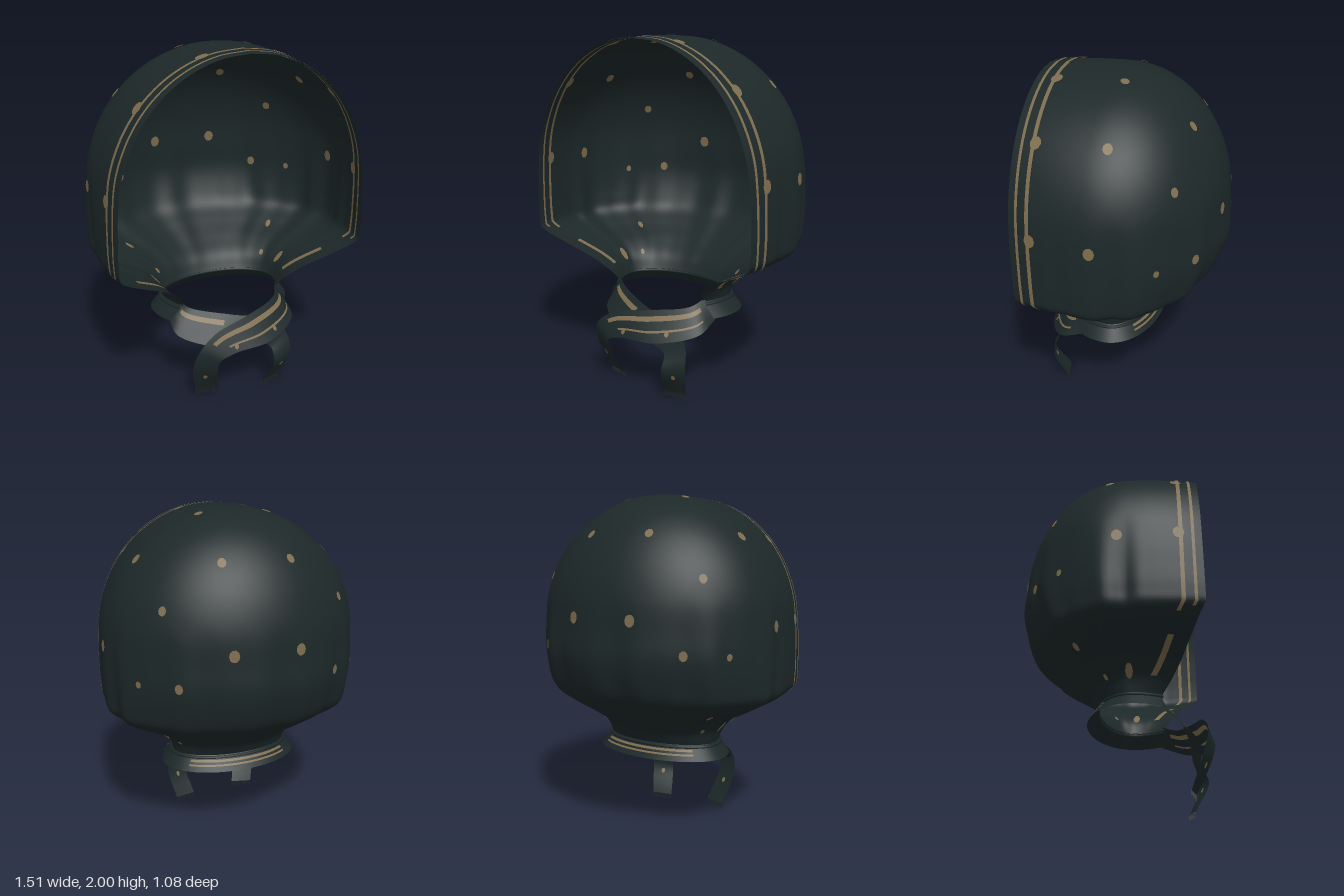
import * as THREE from 'three';

const V = (x, y, z) => new THREE.Vector3(x, y, z);
const lerp = THREE.MathUtils.lerp;
const clamp01 = (a) => Math.min(1, Math.max(0, a));

const ZC = 0.1;   // where the straight sides meet the round back
const Q = 0.65;   // share of a row that is round

// Rows of the hood: half width, height, rearmost z. A round crown, then the gathered neck
const crown = Array.from({ length: 8 }, (_, i) => {
  const a = i / 7 * Math.PI / 2;
  return V(0.75 * Math.sin(a), 1.25 + 0.75 * Math.cos(a), ZC - 0.63 * Math.sin(a));
});
const rows = new THREE.CatmullRomCurve3([...crown, ...[
  [0.753, 1.1, -0.537], [0.75, 0.96, -0.5], [0.735, 0.87, -0.455], [0.62, 0.79, -0.36],
  [0.46, 0.705, -0.24], [0.385, 0.63, -0.14], [0.355, 0.55, -0.09],
].map((p) => V(...p))]);

const frontZ = (y) => lerp(0.27, 0.5, clamp01((y - 0.56) / 0.33));

// Point on the hood: s runs crown to neck, q runs -1..1 from one front edge round the back
function hood(s, q) {
  const r = rows.getPoint(clamp01(s));
  const w = r.x, zf = frontZ(r.y), a = Math.abs(q);
  const p = V(0, r.y, 0);
  if (a > Q) {
    const f = (a - Q) / (1 - Q);
    const k = lerp(0.82, 0.95, clamp01((r.y - 0.56) / 0.33)) - 0.03 * clamp01((r.y - 0.95) / 0.6);
    p.x = Math.sign(q) * w * (1 - (1 - k) * f * f);
    p.z = ZC + (zf - ZC) * f;
  } else {
    const th = (q / Q) * Math.PI / 2;
    p.x = w * Math.sin(th);
    p.z = ZC - (ZC - r.z) * Math.cos(th);
  }
  // gathered pleats towards the neck
  const fade = clamp01((1.45 - r.y) / 0.5) * clamp01((r.y - 0.55) / 0.2) * clamp01((0.85 - a) / 0.2);
  const m = 1 + 0.014 * fade * (Math.sin(q * 31) + 0.5 * Math.sin(q * 53 + 1));
  p.x *= m;
  p.z = ZC + (p.z - ZC) * m;
  if (p.z > 0.15) p.y -= 0.015 * clamp01((r.y - 1.5) / 0.5) * ((p.z - 0.15) / 0.35) ** 2;
  return p;
}

function hoodNormal(s, q) {
  const e = 0.003, s0 = Math.max(0.004, Math.min(0.996, s));
  const ds = hood(s0 + e, q).sub(hood(s0 - e, q));
  const dq = hood(s0, Math.min(1, q + e)).sub(hood(s0, Math.max(-1, q - e)));
  const n = ds.cross(dq).normalize();
  const p = hood(s0, q);
  return n.dot(V(p.x, p.y - 1.1, p.z - 0.1)) < 0 ? n.negate() : n;
}

// Sheet over a grid of points fn(u, v), u and v in 0..1
function sheet(fn, nu, nv) {
  const pos = [], idx = [];
  for (let i = 0; i <= nu; i++) for (let j = 0; j <= nv; j++) pos.push(...fn(i / nu, j / nv).toArray());
  for (let i = 0; i < nu; i++) for (let j = 0; j < nv; j++) {
    const a = i * (nv + 1) + j, b = a + nv + 1;
    idx.push(a, b, a + 1, b, b + 1, a + 1);
  }
  const g = new THREE.BufferGeometry();
  g.setAttribute('position', new THREE.Float32BufferAttribute(pos, 3));
  g.setIndex(idx);
  g.computeVertexNormals();
  return g;
}

// Row parameter for a given height
function rowAt(y) {
  let lo = 0, hi = 1;
  for (let i = 0; i < 30; i++) {
    const m = (lo + hi) / 2;
    if (rows.getPoint(m).y > y) lo = m; else hi = m;
  }
  return lo;
}

export function createModel() {
  const group = new THREE.Group();
  const cloth = new THREE.MeshStandardMaterial({ color: 0x1d2829, side: THREE.DoubleSide });
  cloth.name = 'dark cloth';
  const gold = new THREE.MeshStandardMaterial({ color: 0x7d6c4e, side: THREE.DoubleSide });
  gold.name = 'dull gold';
  const add = (name, geo, mat) => {
    const m = new THREE.Mesh(geo, mat);
    m.name = name;
    group.add(m);
    return m;
  };

  add('hood', sheet((u, v) => hood(u, v * 2 - 1), 80, 120), cloth);

  // Border stripes down the face opening and a worn patch on the cheek: edge distance, width, heights
  const edgeQ = (s, d) => Q + (1 - Q) * (1 - d / (frontZ(rows.getPoint(s).y) - ZC));
  const stripes = [[0.04, 0.016, 2, 0.87], [0.1, 0.021, 2, 0.85], [0.085, 0.032, 0.78, 0.64]];
  for (const side of [-1, 1]) for (const off of [-0.005, 0.005]) for (const [d, w, y0, y1] of stripes) {
    const s0 = rowAt(y0), s1 = rowAt(y1);
    add('borderStripe', sheet((u, v) => {
      const s = lerp(s0, s1, u), q = side * edgeQ(s, d + w * v);
      return hood(s, q).addScaledVector(hoodNormal(s, q), off);
    }, 80, 1), gold);
  }

  // Printed dots, on both sides of the cloth
  function dot(s, q, r, narrow = 0.85) {
    const n = hoodNormal(s, q), p = hood(s, q);
    for (const off of [-0.006, 0.006]) {
      const m = add('dot', new THREE.CircleGeometry(r, 10), gold);
      m.position.copy(p).addScaledVector(n, off);
      m.lookAt(m.position.clone().add(n));
      m.scale.x = narrow;
    }
  }
  const backDots = [[0.19, 1.76, 0.028], [0.5, 1.53, 0.026], [0.185, 1.315, 0.034],
    [0.45, 1.14, 0.028], [0.63, 1.13, 0.02], [0.47, 0.775, 0.03, 0.5], [0.35, 0.65, 0.02, 0.6]];
  const sideDots = [[0.02, 1.967, 0.027], [0.01, 1.745, 0.03], [0.06, 1.27, 0.034], [0.1, 0.66, 0.045, 0.45]];
  const borderDots = [1.967, 1.74, 1.285];
  for (const side of [-1, 1]) {
    for (const [x, y, r, narrow] of backDots) {
      const s = rowAt(y);
      dot(s, side * Q * Math.asin(x / rows.getPoint(s).x) * 2 / Math.PI, r, narrow);
    }
    for (const [z, y, r, narrow] of sideDots) {
      const s = rowAt(y);
      dot(s, side * Q * Math.acos((ZC - z) / (ZC - rows.getPoint(s).z)) * 2 / Math.PI, r, narrow);
    }
    for (const y of borderDots) dot(rowAt(y), side * edgeQ(rowAt(y), 0.122), 0.036);
  }

  // Flared collar band round the nape, striped at the back only
  function collar(q, v, off = 0) {
    const a = Math.abs(q), out = 0.07 * v + off;
    const y = lerp(0.555, 0.47, v);
    if (a > Q) {
      const f = (a - Q) / (1 - Q);
      return V(Math.sign(q) * (0.355 + out - 0.055 * f * f), y, lerp(ZC, 0.27, f));
    }
    const th = (q / Q) * Math.PI / 2;
    return V((0.355 + out) * Math.sin(th), y, ZC - (0.19 + out) * Math.cos(th));
  }
  add('collar', sheet((u, v) => collar(u * 2 - 1, v), 64, 2), cloth);
  for (const [v0, v1] of [[0.28, 0.42], [0.55, 0.66]]) {
    add('collarStripe', sheet((u, v) => collar(lerp(-0.36, 0.36, u), lerp(v0, v1, v), 0.006), 40, 1), gold);
  }
  const seam = new THREE.CatmullRomCurve3(
    Array.from({ length: 33 }, (_, i) => collar(i / 16 - 1, 0.15, 0.002)));
  add('collarSeam', new THREE.TubeGeometry(seam, 64, 0.01, 6), cloth);

  // Crossed ties: each is a ribbon between an upper and a lower edge, leaning outward below
  const upper = [[0.3, 0.57, 0.26], [0.25, 0.535, 0.34], [0.04, 0.5, 0.43], [-0.18, 0.455, 0.48],
    [-0.285, 0.37, 0.5], [-0.31, 0.25, 0.47], [-0.27, 0.06, 0.4]];
  const lower = [[0.37, 0.46, 0.26], [0.35, 0.41, 0.4], [0.14, 0.36, 0.525], [-0.08, 0.345, 0.54],
    [-0.17, 0.31, 0.538], [-0.18, 0.23, 0.515], [-0.14, 0.06, 0.43]];
  function tie(name, side, back, drop, bands, dots) {
    const edge = (pts) => new THREE.CatmullRomCurve3(pts.map(([x, y, z], i) =>
      V(x * side, y - drop * i / 6, z - (i > 0 && i < 5 ? back : 0))));
    const up = edge(upper), low = edge(lower);
    const at = (u, v) => up.getPoint(u).lerp(low.getPoint(u), v);
    const normal = (u, v) => {
      const u0 = Math.min(0.98, u);
      const n = at(u0 + 0.01, v).sub(at(u0, v)).cross(low.getPoint(u0).sub(up.getPoint(u0))).normalize();
      return n.z < 0 ? n.negate() : n;
    };
    add(name, sheet(at, 48, 4), cloth);
    for (const off of [-0.005, 0.005]) {
      for (const [v0, v1, u0, u1] of bands) {
        add(name + 'Stripe', sheet((u, v) => {
          const uu = lerp(u0, u1, u), vv = lerp(v0, v1, v);
          return at(uu, vv).addScaledVector(normal(uu, vv), off);
        }, 40, 1), gold);
      }
      for (const [u, v] of dots) {
        const n = normal(u, v), m = add('tieDot', new THREE.CircleGeometry(0.018, 10), gold);
        m.position.copy(at(u, v)).addScaledVector(n, off * 1.2);
        m.lookAt(m.position.clone().add(n));
        m.scale.x = 0.7;
      }
    }
    // fringe threads
    for (let i = 0; i < 13; i++) {
      const m = add('fringe', new THREE.BoxGeometry(0.004, 0.03, 0.004), cloth);
      m.position.copy(at(1, (i + 0.5) / 13)).add(V(0, -0.014, -0.003));
    }
  }
  tie('frontTie', 1, 0, 0, [[0.2, 0.36, 0.08, 0.56], [0.64, 0.71, 0.1, 0.5]], [[0.28, 0.76], [0.47, 0.76], [0.88, 0.5]]);
  tie('rearTie', -1, 0.065, 0.03, [[0.2, 0.36, 0.06, 0.32]], [[0.88, 0.5]]);

  return group;
}
